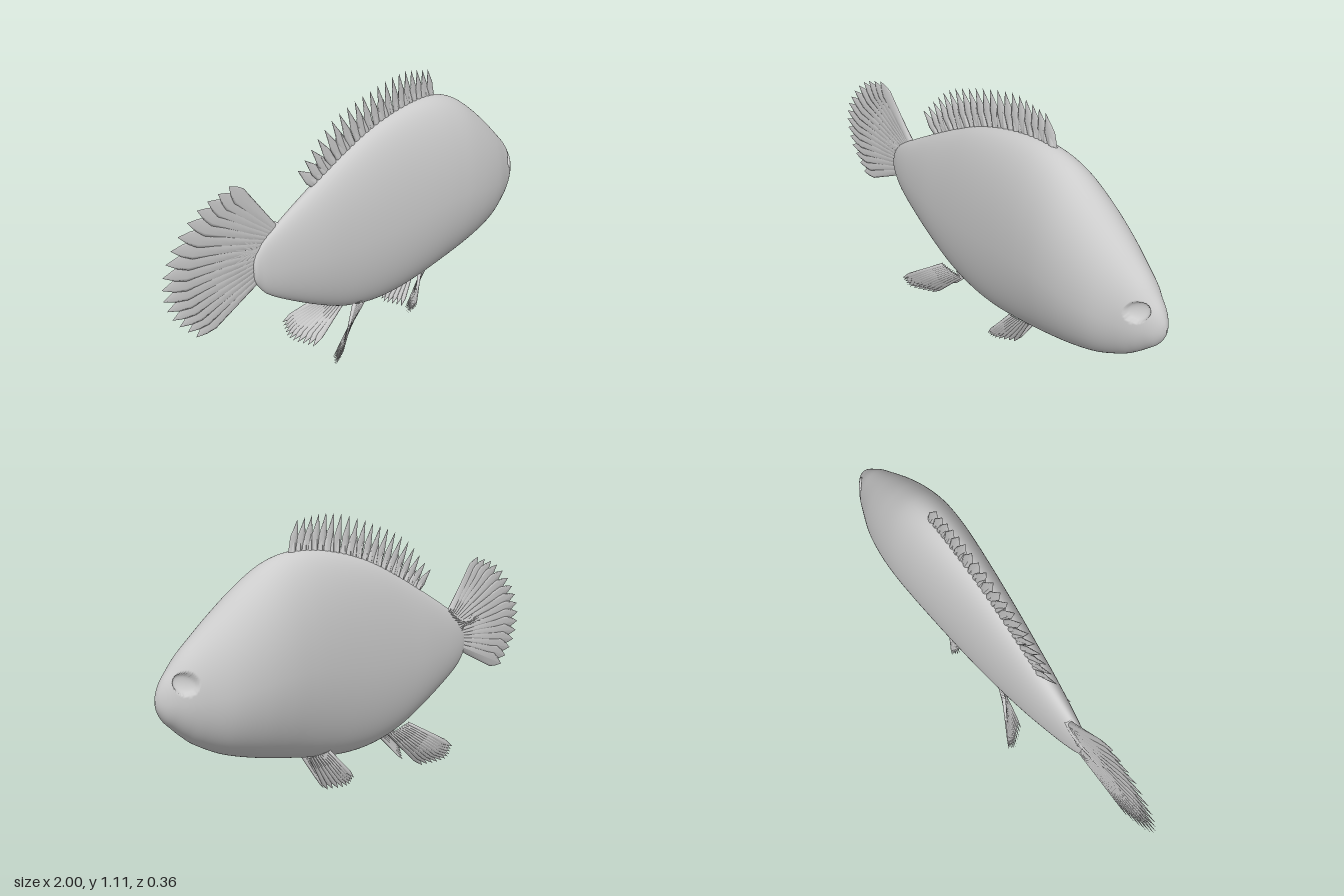
import * as THREE from 'three';
import { mergeGeometries } from 'three/addons/utils/BufferGeometryUtils.js';

const material = new THREE.MeshStandardMaterial({ color: 0xcccccc });
const vec = (p) => new THREE.Vector3(...p);
const curve = (pts) => new THREE.CatmullRomCurve3(pts.map(vec), false, 'catmullrom', 0.5);

// Body stations: x, top, bottom, half width
const STATIONS = [
  [-0.605, 0.53, 0.53, 0], [-0.6, 0.57, 0.485, 0.012], [-0.58, 0.605, 0.45, 0.02],
  [-0.54, 0.642, 0.405, 0.032], [-0.45, 0.695, 0.345, 0.052], [-0.3, 0.775, 0.26, 0.078],
  [-0.15, 0.85, 0.19, 0.098], [0, 0.915, 0.152, 0.117], [0.15, 0.958, 0.144, 0.135],
  [0.3, 0.98, 0.16, 0.152], [0.42, 0.976, 0.182, 0.163], [0.53, 0.942, 0.205, 0.168],
  [0.64, 0.872, 0.232, 0.162], [0.75, 0.785, 0.268, 0.142], [0.85, 0.7, 0.32, 0.106],
  [0.9, 0.655, 0.358, 0.085], [0.94, 0.61, 0.395, 0.062], [0.97, 0.573, 0.425, 0.042],
  [0.99, 0.535, 0.46, 0.02], [1, 0.497, 0.497, 0],
];
const EYE = { x: 0.915, y: 0.56, r: 0.037 };

// Smooth loft with a hollow eye socket pressed into each side
function bodyGeometry(rings = 228, sides = 128) {
  const outline = curve(STATIONS.map(([x, t, b]) => [x, t, b]));
  const width = new THREE.SplineCurve(STATIONS.map((s) => new THREE.Vector2(s[0], s[3])));
  const pos = [], index = [];
  for (let i = 0; i <= rings; i++) {
    const { x, y: top, z: bottom } = outline.getPoint(i / rings);
    const w = Math.max(0, width.getPoint(i / rings).y);
    const mid = bottom + (top - bottom) * 0.46;
    for (let j = 0; j < sides; j++) {
      const a = (j / sides) * Math.PI * 2;
      const s = Math.sin(a);
      const y = mid + s * (s > 0 ? top - mid : mid - bottom);
      let z = w * Math.cos(a);
      const d2 = EYE.r ** 2 - (x - EYE.x) ** 2 - (y - EYE.y) ** 2;
      if (d2 > 0) z -= Math.sign(z) * Math.min(Math.abs(z) * 0.8, 0.75 * Math.sqrt(d2));
      pos.push(x, y, z);
      if (i < rings) {
        const k = (j + 1) % sides;
        const p = i * sides + j, q = p + sides, r = (i + 1) * sides + k, t = i * sides + k;
        index.push(p, q, r, p, r, t);
      }
    }
  }
  const g = new THREE.BufferGeometry();
  g.setAttribute('position', new THREE.Float32BufferAttribute(pos, 3));
  g.setIndex(index);
  g.computeVertexNormals();
  return g;
}

// One fin ray: flattened spine that widens to a shoulder, then comes to a point
function rayGeometry(root, tip, across, o) {
  const dir = tip.clone().sub(root);
  const len = dir.length();
  dir.normalize();
  const side = across.clone().addScaledVector(dir, -across.dot(dir)).normalize();
  const normal = side.clone().cross(dir);
  const g = new THREE.CylinderGeometry(1, 1, 1, 8, 10, true);
  const p = g.attributes.position;
  for (let i = 0; i < p.count; i++) {
    const v = p.getY(i) + 0.5;
    const w = v < o.shoulder
      ? THREE.MathUtils.lerp(o.w0, o.w1, v / o.shoulder)
      : o.w1 * (1 - v) / (1 - o.shoulder);
    const thick = o.thick * (1 - 0.9 * v) * (v === 1 ? 0 : 1);
    p.setXYZ(i, p.getX(i) * w, v * len, p.getZ(i) * thick);
  }
  // Slight roll so that neighbouring rays overlap like pleats
  g.rotateY(o.roll ?? 0.12);
  g.applyMatrix4(new THREE.Matrix4().makeBasis(side, dir, normal).setPosition(root));
  g.computeVertexNormals();
  return g;
}

// A fin: rays spread between a root curve and a tip curve
function fin(name, roots, tips, o) {
  const rootCurve = curve(roots), tipCurve = curve(tips);
  const rays = [];
  for (let i = 0; i < o.count; i++) {
    const t = i / (o.count - 1);
    const root = rootCurve.getPoint(t);
    const tip = root.clone().lerp(tipCurve.getPoint(t), o.reach ?? 1);
    rays.push(rayGeometry(root, tip, tipCurve.getTangent(t), o));
  }
  const mesh = new THREE.Mesh(mergeGeometries(rays), material);
  mesh.name = name;
  return mesh;
}

export function createModel() {
  const fish = new THREE.Group();
  fish.name = 'fish';

  const body = new THREE.Mesh(bodyGeometry(), material);
  body.name = 'body';
  fish.add(body);

  // Tail: long fan plus a shorter crossing layer near the root
  const tailTips = [[-0.69, 0.895, 0], [-0.83, 0.85, 0], [-0.95, 0.74, 0],
    [-1, 0.61, 0], [-0.97, 0.48, 0], [-0.88, 0.37, 0]];
  const z = -0.012;
  fish.add(fin('tailFin',
    [[-0.47, 0.64, z], [-0.48, 0.62, z], [-0.49, 0.6, z], [-0.5, 0.57, z], [-0.5, 0.55, z], [-0.5, 0.52, z]],
    tailTips, { count: 16, w0: 0.016, w1: 0.034, shoulder: 0.84, thick: 0.014 }));
  fish.add(fin('tailFinInnerRays',
    [[-0.53, 0.5, z], [-0.52, 0.54, z], [-0.51, 0.57, z], [-0.5, 0.61, z], [-0.49, 0.64, z], [-0.47, 0.675, z]],
    tailTips, { count: 12, reach: 0.72, w0: 0.012, w1: 0.012, shoulder: 0.6, thick: 0.017 }));

  // Dorsal fin: tall spines with a shorter row at their base
  const backRoots = [[0.41, 0.955, -0.008], [0.24, 0.945, -0.008], [0.06, 0.9, -0.008],
    [-0.1, 0.83, -0.008], [-0.26, 0.765, -0.008]];
  const backTips = [[0.37, 1.095, 0], [0.2, 1.117, 0], [0, 1.075, 0], [-0.2, 1.005, 0], [-0.37, 0.86, 0]];
  fish.add(fin('dorsalFin', backRoots, backTips,
    { count: 20, w0: 0.02, w1: 0.024, shoulder: 0.5, thick: 0.01, roll: 0.2 }));
  fish.add(fin('dorsalFinShortRays', backRoots, backTips,
    { count: 26, reach: 0.62, w0: 0.014, w1: 0.014, shoulder: 0.45, thick: 0.016, roll: 0.3 }));

  // Paired lower fins, mirrored across z
  const pairs = [
    ['rearLowerFin',
      [[-0.15, 0.225, 0.075], [-0.11, 0.205, 0.06], [-0.07, 0.19, 0.045]],
      [[-0.325, 0.11, 0.178], [-0.325, 0.045, 0.14], [-0.265, 0.01, 0.06]], 11, 0.014],
    ['frontLowerFin',
      [[0.28, 0.19, 0.06], [0.31, 0.18, 0.045], [0.345, 0.175, 0.03]],
      [[0.195, 0.075, 0.115], [0.195, 0.03, 0.075], [0.245, 0.01, 0.012]], 9, 0.011],
  ];
  for (const [name, roots, tips, count, w1] of pairs) {
    for (const s of [1, -1]) {
      const flip = (pts) => pts.map(([x, y, zz]) => [x, y, zz * s]);
      fish.add(fin((s > 0 ? 'near' : 'far') + name[0].toUpperCase() + name.slice(1), flip(roots), flip(tips),
        { count, w0: 0.009, w1, shoulder: 0.82, thick: 0.009, roll: 0.2 * s }));
    }
  }
  return fish;
}
